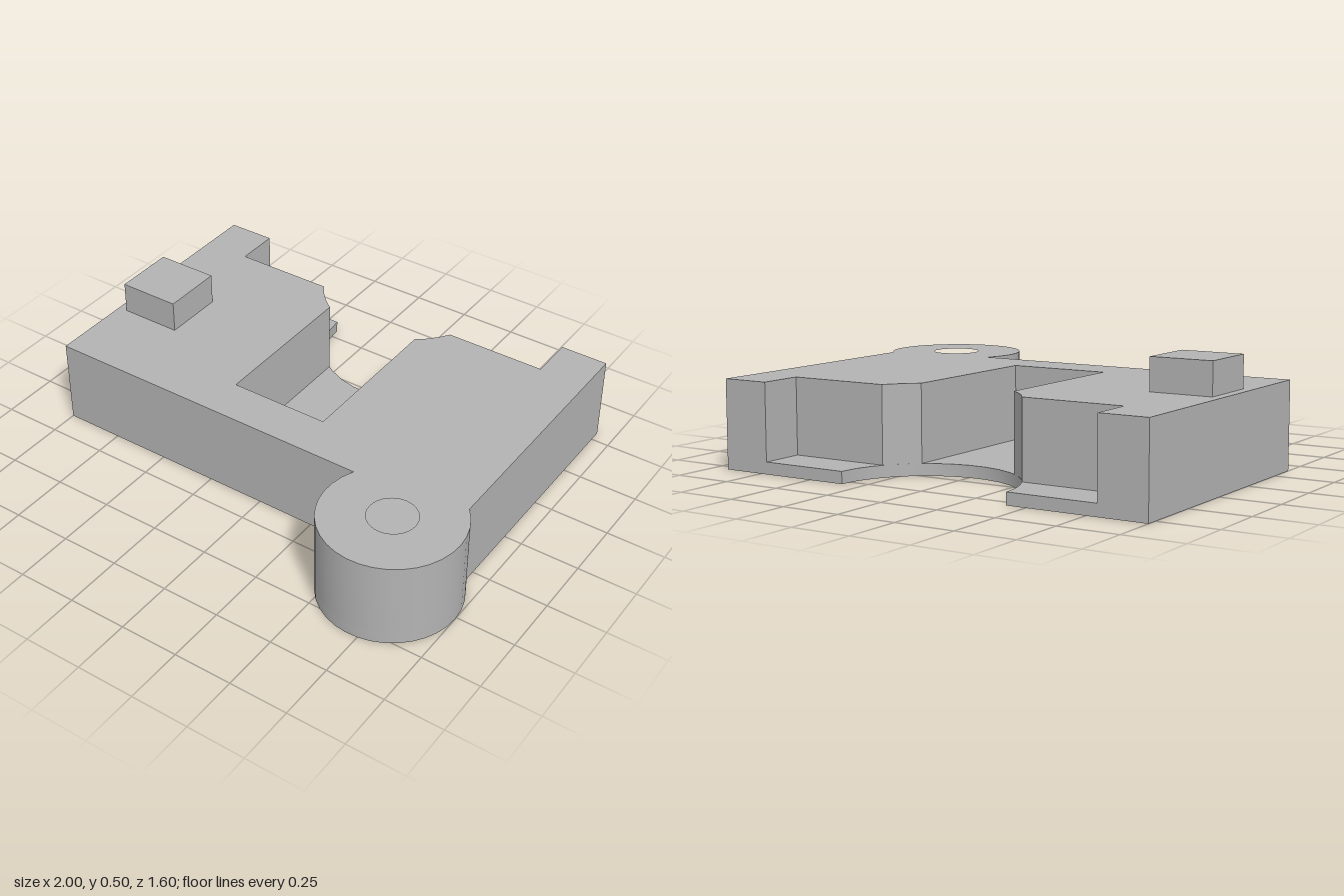
import * as THREE from 'three';
import { toCreasedNormals } from 'three/addons/utils/BufferGeometryUtils.js';

const FLOOR = 0.05, TOP = 0.37;
const BORE = { x: -0.038, z: -0.804, r: 0.378 };
const LUG = { x: 0.71, z: 0.51, r: 0.29, hole: 0.1 };

// Points [x, z] along an arc, angles measured from +x towards +z
function arc(c, r, a0, a1, n) {
  return Array.from({ length: n + 1 }, (_, i) => {
    const a = a0 + (a1 - a0) * i / n;
    return [c.x + r * Math.cos(a), c.z + r * Math.sin(a)];
  });
}

// Upright slab from a plan outline, with the lug hole cut through
function slab(outline, y0, y1) {
  const toV = ([x, z]) => new THREE.Vector2(x, -z);
  const shape = new THREE.Shape(outline.map(toV));
  shape.holes.push(new THREE.Path(arc(LUG, LUG.hole, 0, Math.PI * 2, 32).slice(0, -1).map(toV)));
  const geo = new THREE.ExtrudeGeometry(shape, { depth: y1 - y0, bevelEnabled: false });
  geo.rotateX(-Math.PI / 2).translate(0, y0, 0);
  return toCreasedNormals(geo, 0.5);
}

export function createModel() {
  const model = new THREE.Group();
  const grey = new THREE.MeshStandardMaterial({ color: 0xb3b3b3 });
  grey.name = 'grey';
  const add = (name, geo) => {
    const mesh = new THREE.Mesh(geo, grey);
    mesh.name = name;
    model.add(mesh);
    return mesh;
  };

  // Right edge, round corner lug, front edge and left edge, shared by both layers
  const outer = [
    [0.925, -0.8],
    ...arc(LUG, LUG.r, Math.atan2(-0.195, 0.215), Math.atan2(-0.13, -0.259) + Math.PI * 2, 24),
    [-1, 0.38], [-1, -0.8],
  ];

  // Angle on the bore at a given x or z
  const atX = x => Math.acos((x - BORE.x) / BORE.r);
  const atZ = z => Math.asin((z - BORE.z) / BORE.r);

  // Thin floor with the half-round bore in its back edge
  const floorBore = arc(BORE, BORE.r, Math.PI - atZ(-0.8), atZ(-0.8), 15);
  add('floor', slab([...outer, ...floorBore], 0, FLOOR));

  // Walls above the floor, with back step, bore and deep slot cut out
  add('body', slab([
    ...outer,
    [-0.795, -0.8], [-0.795, -0.61],
    ...arc(BORE, BORE.r, Math.PI - atZ(-0.61), atX(-0.25), 3),
    [-0.25, 0.19], [0.18, 0.19],
    ...arc(BORE, BORE.r, atX(0.18), atZ(-0.61), 3),
    [0.72, -0.61], [0.72, -0.8],
  ], FLOOR, TOP));

  // Small square block standing on the top face
  add('topBlock', new THREE.BoxGeometry(0.265, 0.135, 0.265)).position.set(-0.827, TOP + 0.0675, -0.103);

  return model;
}
